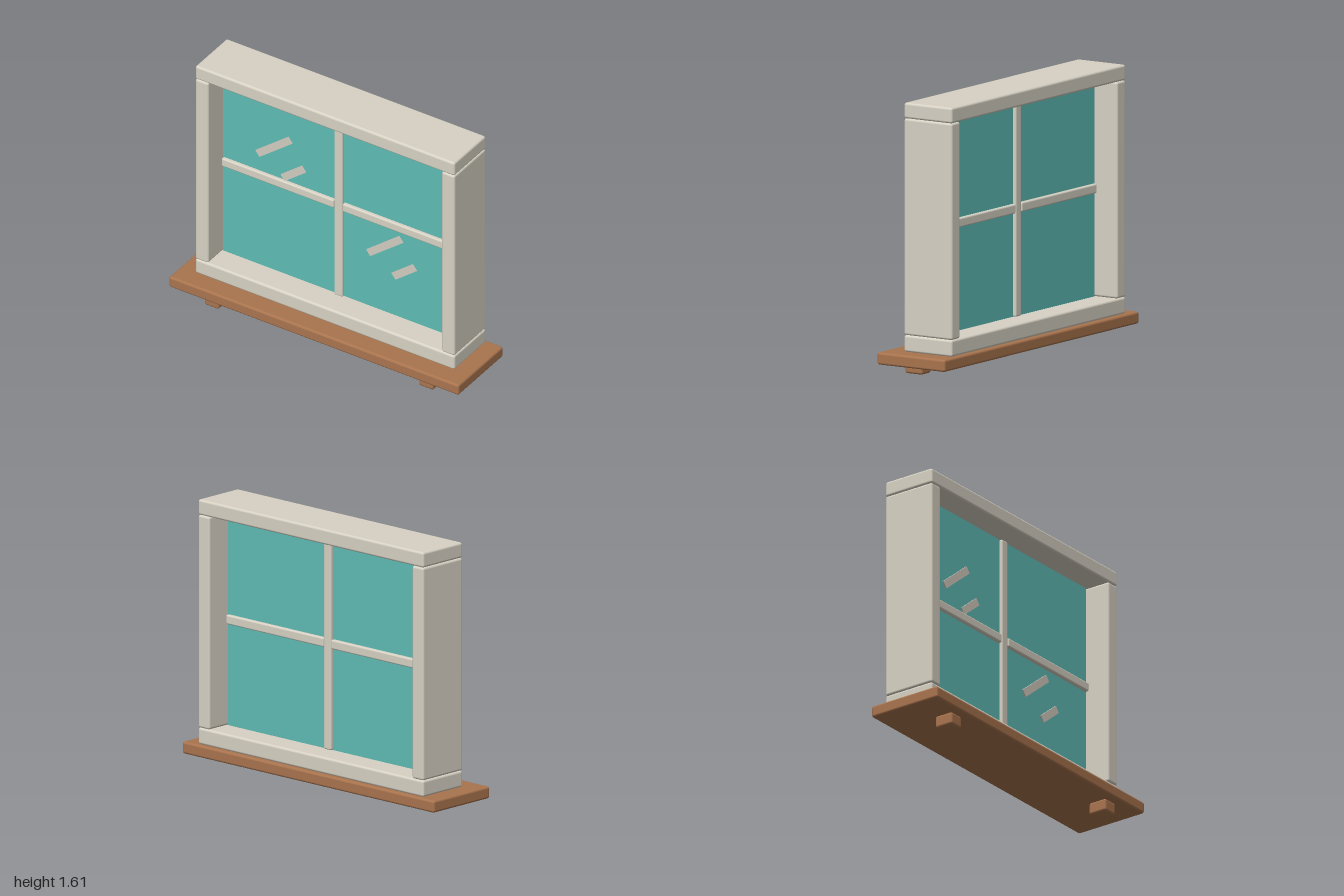
import * as THREE from 'three';
import { RoundedBoxGeometry } from 'three/addons/geometries/RoundedBoxGeometry.js';

const material = (name, color) => {
  const m = new THREE.MeshStandardMaterial({ color });
  m.name = name;
  return m;
};

export function createModel() {
  const model = new THREE.Group();
  model.name = 'window';

  const paint = material('cream paint', 0xd7d2c4);
  const wood = material('brown wood', 0xa9744e);
  const glass = material('teal glass', 0x5fbcb5);
  const shine = material('pale shine', 0xd3ccc1);

  const add = (name, geometry, mat, x, y, z) => {
    const mesh = new THREE.Mesh(geometry, mat);
    mesh.name = name;
    mesh.position.set(x, y, z);
    model.add(mesh);
    return mesh;
  };

  // Softened bar given by its extents on each axis
  const bar = (name, mat, [x0, x1], [y0, y1], [z0, z1], radius = 0.014) =>
    add(name, new RoundedBoxGeometry(x1 - x0, y1 - y0, z1 - z0, 3, radius), mat,
      (x0 + x1) / 2, (y0 + y1) / 2, (z0 + z1) / 2);

  const depth = [-0.215, 0.12];
  const glassZ = -0.048;

  // Sill
  bar('sill', wood, [-1, 1], [0.075, 0.147], [-0.237, 0.237]);

  // Frame rails
  bar('bottomRail', paint, [-0.895, 0.895], [0.147, 0.245], depth);
  bar('topRail', paint, [-0.895, 0.895], [1.515, 1.607], depth);

  // Mirrored brackets, jambs and horizontal glazing bars
  for (const [side, s] of [['left', 1], ['right', -1]]) {
    const span = (a, b) => (s > 0 ? [a, b] : [-b, -a]);
    bar(side + 'Bracket', wood, span(0.69, 0.79), [0, 0.075], [0.065, 0.185]);
    bar(side + 'Jamb', paint, span(0.805, 0.895), [0.245, 1.515], depth);
    bar(side + 'GlazingBar', paint, span(0.03, 0.805), [0.852, 0.908],
      [glassZ - 0.029, glassZ + 0.029], 0.01);
  }

  // Central upright
  bar('centralGlazingBar', paint, [-0.029, 0.029], [0.245, 1.515],
    [glassZ - 0.027, glassZ + 0.027], 0.01);

  // Glass pane
  add('glassPane', new THREE.BoxGeometry(1.612, 1.274, 0.016), glass, 0, 0.88, glassZ);

  // Slanted reflections on the front of the glass: x, y, length
  const glints = [
    [-0.452, 1.115, 0.286], [-0.318, 0.979, 0.184],
    [0.313, 0.709, 0.286], [0.447, 0.578, 0.184],
  ];
  for (const [x, y, length] of glints) {
    const glint = add('glint', new THREE.BoxGeometry(length, 0.046, 0.008), shine,
      x, y, glassZ + 0.012);
    glint.rotation.z = THREE.MathUtils.degToRad(38.5);
  }

  return model;
}
